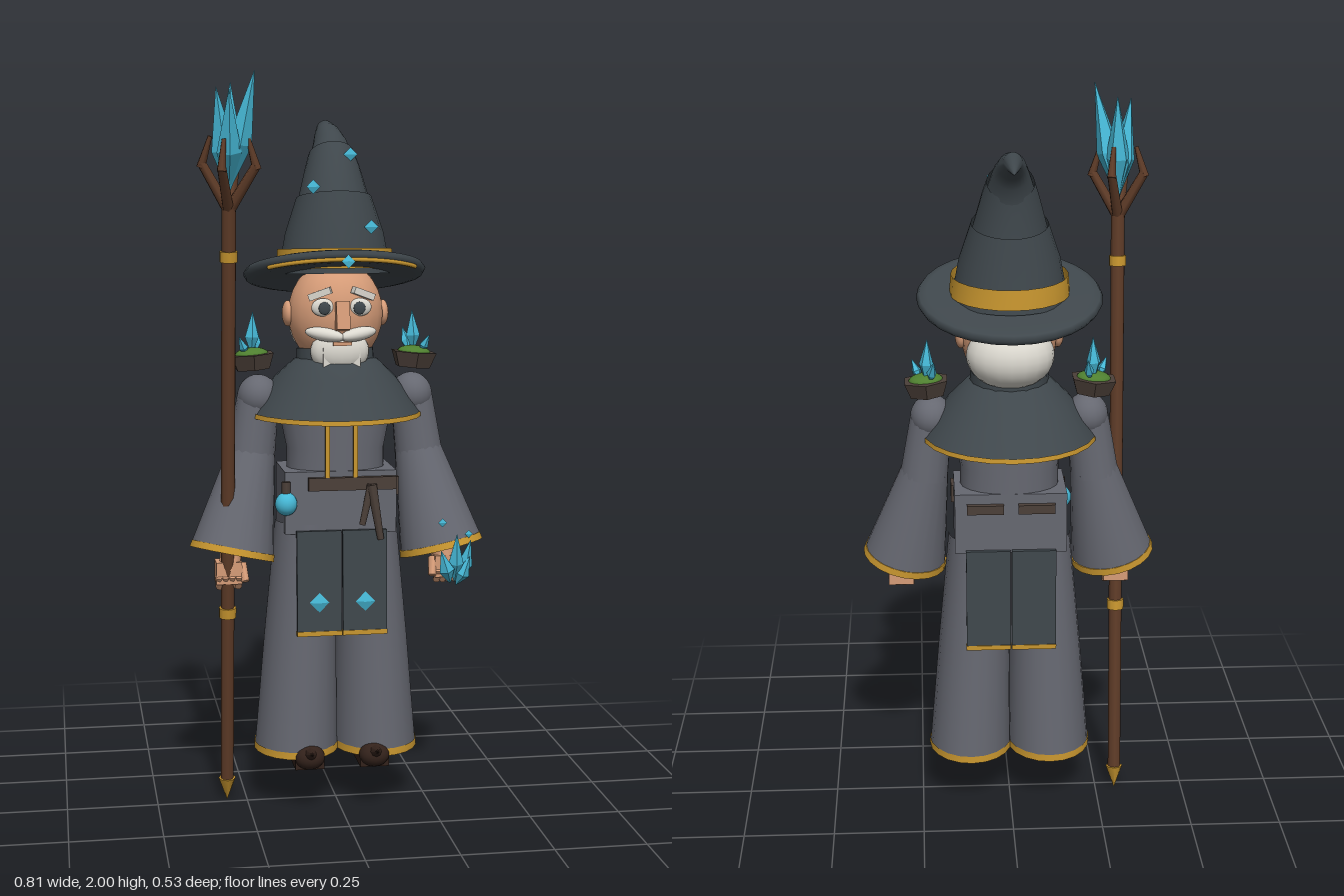
import * as THREE from 'three';
import { toCreasedNormals } from 'three/addons/utils/BufferGeometryUtils.js';

const mat = (name, color, side = THREE.FrontSide) => {
  const m = new THREE.MeshStandardMaterial({ color, side });
  m.name = name;
  return m;
};

export function createModel() {
  const robe = mat('robe grey', 0x666871), dark = mat('dark cloth', 0x3f474c, THREE.DoubleSide);
  const gold = mat('gold', 0xc8962f, THREE.DoubleSide), skin = mat('skin', 0xd69c78);
  const wood = mat('wood', 0x5f3c28), boot = mat('boot brown', 0x33221b);
  const crystalBlue = mat('crystal blue', 0x46b8d6), hair = mat('white hair', 0xdcd9d0);
  const moss = mat('moss green', 0x4f8030), leather = mat('leather brown', 0x4c4039);

  const root = new THREE.Group();
  root.name = 'wizard';
  const group = (name, parent = root) => {
    const g = new THREE.Group();
    g.name = name;
    parent.add(g);
    return g;
  };
  const add = (name, geo, m, pos = [0, 0, 0], parent = root, rot = [0, 0, 0], scale = [1, 1, 1]) => {
    const mesh = new THREE.Mesh(geo, m);
    mesh.name = name;
    mesh.position.set(...pos);
    mesh.rotation.set(...rot);
    mesh.scale.set(...scale);
    parent.add(mesh);
    return mesh;
  };
  const box = (name, w, h, d, m, pos, parent, rot) => add(name, new THREE.BoxGeometry(w, h, d), m, pos, parent, rot);
  const ball = (name, m, pos, scale, parent, rot) => add(name, new THREE.SphereGeometry(1, 20, 14), m, pos, parent, rot, scale);

  // Skin over elliptical rings, bottom to top: [x, y, z, rx, rz, forward rise]
  const loft = (rings, n = 20, crease = 0.6) => {
    const pos = [], idx = [];
    rings.forEach(([x, y, z, rx, rz, dy = 0], r) => {
      for (let i = 0; i < n; i++) {
        const a = (i / n) * Math.PI * 2, j = (i + 1) % n;
        pos.push(x + rx * Math.cos(a), y + dy * Math.sin(a), z + rz * Math.sin(a));
        if (r) {
          const lo = (r - 1) * n, hi = r * n;
          idx.push(lo + i, hi + i, lo + j, lo + j, hi + i, hi + j);
        }
      }
    });
    const g = new THREE.BufferGeometry();
    g.setAttribute('position', new THREE.Float32BufferAttribute(pos, 3));
    g.setIndex(idx);
    return toCreasedNormals(g, crease);
  };
  // Tapered rod between two points
  const limb = (name, a, b, ra, rb, m, parent = root, sides = 16) => {
    const A = new THREE.Vector3(...a), d = new THREE.Vector3(...b).sub(A);
    const mesh = add(name, new THREE.CylinderGeometry(rb, ra, d.length(), sides), m, [0, 0, 0], parent);
    mesh.position.copy(A).addScaledVector(d, 0.5);
    mesh.quaternion.setFromUnitVectors(new THREE.Vector3(0, 1, 0), d.normalize());
    return mesh;
  };
  // Faceted shard growing from its base
  const shard = (name, pos, r, h, rot = [0, 0, 0], parent = root) => {
    const pts = [[0.001, 0], [r, h * 0.4], [0.0005, h]].map(p => new THREE.Vector2(...p));
    const g = new THREE.LatheGeometry(pts, 5).toNonIndexed();
    g.computeVertexNormals();
    return add(name, g, crystalBlue, pos, parent, rot);
  };
  const gem = (name, pos, r = 0.018, parent = root) =>
    add(name, new THREE.OctahedronGeometry(r), crystalBlue, pos, parent, [0, 0, 0], [1, 1, 0.3]);

  // Robe skirt, hems and boots
  for (const s of [-1, 1]) {
    add('robeLeg', loft([[s * 0.111, 0.165, -0.007, 0.115, 0.135], [s * 0.099, 0.48, -0.004, 0.1, 0.117],
      [s * 0.084, 0.8, 0, 0.084, 0.1]]), robe);
    add('robeHem', loft([[s * 0.111, 0.152, -0.007, 0, 0], [s * 0.111, 0.152, -0.007, 0.118, 0.138],
      [s * 0.111, 0.172, -0.007, 0.117, 0.137]]), gold);
    const boots = group('boot');
    box('sole', 0.08, 0.03, 0.17, boot, [s * 0.09, 0.137, 0.04], boots);
    ball('toe', boot, [s * 0.09, 0.155, 0.115], [0.042, 0.034, 0.04], boots);
    add('toeTip', new THREE.ConeGeometry(0.028, 0.07, 8), boot, [s * 0.09, 0.172, 0.15], boots, [1.25, 0, 0]);
  }

  // Torso, waist, belt and gold cords
  add('torso', loft([[0, 0.9, -0.005, 0.135, 0.1], [0, 1.0, -0.005, 0.135, 0.1], [0, 1.17, -0.005, 0.17, 0.1]]), robe);
  add('waist', loft([[0, 0.77, -0.003, 0.215, 0.142], [0, 0.94, -0.003, 0.195, 0.14], [0, 0.945, -0.003, 0, 0]], 4), robe)
    .visible = false;
  root.children.pop();
  box('waist', 0.305, 0.17, 0.2, robe, [0, 0.86, -0.004]);
  box('belt', 0.24, 0.035, 0.02, leather, [0.03, 0.912, 0.103]);
  for (const s of [-1, 1]) {
    box('backStrap', 0.1, 0.025, 0.02, leather, [s * 0.07, 0.905, -0.11]);
    box('goldCord', 0.012, 0.17, 0.012, gold, [s * 0.038, 1.005, 0.104]);
  }
  box('sidePouch', 0.03, 0.05, 0.06, leather, [0.145, 0.9, 0.06]);
  limb('hangingTool', [0.08, 0.91, 0.115], [0.055, 0.8, 0.118], 0.012, 0.009, leather, root, 8);
  limb('hangingTool', [0.08, 0.91, 0.12], [0.105, 0.76, 0.122], 0.014, 0.009, leather, root, 8);
  ball('flask', crystalBlue, [-0.15, 0.86, 0.1], [0.03, 0.032, 0.03]);
  limb('flaskNeck', [-0.15, 0.885, 0.1], [-0.15, 0.92, 0.1], 0.012, 0.012, leather, root, 8);

  // Split tabard, front and back
  for (const f of [-1, 1]) {
    const tabard = group(f > 0 ? 'frontTabard' : 'backTabard');
    for (const s of [-1, 1]) {
      const z = f * 0.116 - 0.003;
      box('panel', 0.121, 0.28, 0.014, dark, [s * 0.0625, 0.645, z], tabard, [-f * 0.04, 0, 0]);
      box('panelTrim', 0.123, 0.013, 0.017, gold, [s * 0.0625, 0.504, z + f * 0.006], tabard);
      if (f > 0) gem('panelGem', [s * 0.063, 0.59, z + 0.012], 0.027, tabard);
    }
  }

  // Shoulder cape with gold underside, and collar
  add('cape', loft([[0, 1.095, -0.015, 0.234, 0.243], [0, 1.19, -0.01, 0.168, 0.16],
    [0, 1.24, 0, 0.115, 0.112], [0, 1.25, 0, 0.09, 0.09]], 24), dark);
  add('capeTrim', loft([[0, 1.088, -0.015, 0, 0], [0, 1.086, -0.015, 0.237, 0.246], [0, 1.099, -0.015, 0.235, 0.244]], 24), gold);
  limb('collar', [0, 1.2, -0.005], [0, 1.27, -0.01], 0.11, 0.105, dark);

  // Arms, flared sleeves and hands
  for (const s of [-1, 1]) {
    const arm = group(s > 0 ? 'leftArm' : 'rightArm');
    ball('shoulder', robe, [s * 0.212, 1.14, -0.008], [0.057, 0.06, 0.065], arm);
    limb('upperArm', [s * 0.212, 1.14, -0.008], [s * 0.234, 0.97, -0.005], 0.057, 0.066, robe, arm);
    limb('sleeve', [s * 0.23, 0.99, -0.006], [s * 0.289, 0.725, 0.034], 0.064, 0.114, robe, arm, 20);
    limb('cuff', [s * 0.287, 0.732, 0.033], [s * 0.291, 0.714, 0.036], 0.115, 0.118, gold, arm, 20);
    limb('wrist', [s * 0.292, 0.73, 0.036], [s * 0.3, 0.67, 0.045], 0.03, 0.03, skin, arm, 10);
    box('palm', 0.07, 0.06, 0.06, skin, [s * 0.302, 0.667, 0.042], arm);
    for (let i = 0; i < 4; i++)
      limb('finger', [s * (0.276 + i * 0.018), 0.66, 0.07], [s * (0.276 + i * 0.017), 0.624, 0.045], 0.011, 0.01, skin, arm, 7);
    limb('thumb', [s * 0.265, 0.69, 0.05], [s * 0.258, 0.645, 0.075], 0.013, 0.011, skin, arm, 7);

    // Mossy rock with crystals on each shoulder
    const rock = group('shoulderRock');
    rock.position.set(s * 0.224, 1.232, -0.04);
    rock.rotation.z = s * -0.08;
    add('stone', toCreasedNormals(new THREE.CylinderGeometry(0.066, 0.05, 0.042, 6), 0.3), leather, [0, 0, 0], rock);
    ball('moss', moss, [0, 0.02, 0], [0.046, 0.018, 0.042], rock);
    shard('shoulderCrystal', [0, 0.02, -0.01], 0.02, 0.115, [0, 0, s * 0.12], rock);
    shard('shoulderCrystal', [-s * 0.012, 0.02, -0.02], 0.014, 0.075, [-0.55, 0, 0.2 * s], rock);
    shard('shoulderCrystal', [s * 0.015, 0.02, 0.01], 0.013, 0.06, [0.4, 0, -s * 0.3], rock);
  }

  // Crystals at the left hand
  for (const [x, y, h, lean] of [[0.305, 0.64, 0.14, 0], [0.29, 0.64, 0.1, 0.3], [0.325, 0.64, 0.12, -0.2], [0.31, 0.63, 0.09, -0.4]])
    shard('handCrystal', [x, y, 0.14 + (0.31 - x)], 0.022, h, [0.2, 0, lean]);
  gem('floatingChip', [0.27, 0.805, 0.15], 0.012);
  gem('floatingChip', [0.345, 0.77, 0.14], 0.011);

  // Head and face
  const head = group('head');
  ball('skull', skin, [0, 1.365, 0], [0.13, 0.145, 0.115], head);
  ball('backHair', hair, [0, 1.325, -0.065], [0.118, 0.09, 0.098], head);
  ball('beard', hair, [0, 1.268, 0.075], [0.08, 0.062, 0.045], head);
  box('beardTip', 0.1, 0.06, 0.05, hair, [0, 1.25, 0.085], head);
  box('nose', 0.036, 0.075, 0.04, skin, [0, 1.365, 0.118], head, [-0.2, 0, 0]);
  box('mouth', 0.05, 0.01, 0.008, skin, [0, 1.292, 0.12], head);
  for (const s of [-1, 1]) {
    ball('ear', skin, [s * 0.13, 1.365, -0.005], [0.016, 0.035, 0.032], head);
    ball('eye', hair, [s * 0.05, 1.388, 0.104], [0.031, 0.024, 0.012], head);
    ball('pupil', dark, [s * 0.047, 1.386, 0.115], [0.016, 0.017, 0.005], head);
    box('brow', 0.062, 0.018, 0.022, hair, [s * 0.058, 1.424, 0.106], head, [0, s * 0.3, -s * 0.35]);
    ball('moustache', hair, [s * 0.045, 1.316, 0.106], [0.055, 0.018, 0.022], head, [0, s * 0.35, s * 0.15]);
  }

  // Hat: tilted brim, gold band and a crown bending backward
  const hat = group('hat');
  const brim = group('brim', hat);
  brim.position.set(0, 1.475, -0.022);
  brim.rotation.x = -0.243;
  const rim = [[0.001, -0.01], [0.22, -0.018], [0.24, -0.014], [0.248, 0], [0.24, 0.012], [0.22, 0.017], [0.1, 0.018]];
  add('brimDisc', new THREE.LatheGeometry(rim.map(p => new THREE.Vector2(...p)), 28), dark, [0, 0, 0], brim);
  const arc = 1.9;
  add('brimTrim', new THREE.TorusGeometry(0.241, 0.006, 6, 20, arc).rotateZ((Math.PI - arc) / 2).rotateX(Math.PI / 2),
    gold, [0, -0.014, 0], brim);
  gem('brimGem', [0, -0.02, 0.246], 0.018, brim);
  add('hatBand', loft([[0, 1.484, -0.02, 0.16, 0.16, 0.009], [0, 1.537, -0.02, 0.156, 0.156, 0.009]], 24), gold, [0, 0, 0], hat);
  add('lowerCrown', loft([[0, 1.47, -0.02, 0.155, 0.155, 0.009], [0, 1.58, -0.025, 0.134, 0.134, 0.015],
    [0, 1.675, -0.035, 0.102, 0.112, 0.02]], 24, 1), dark, [0, 0, 0], hat);
  add('middleCrown', loft([[0, 1.665, -0.037, 0.098, 0.105, 0.02], [0, 1.75, -0.062, 0.075, 0.075, 0.034],
    [0, 1.79, -0.08, 0.062, 0.058, 0.036]], 24, 1), dark, [0, 0, 0], hat);
  add('upperCrown', loft([[0, 1.775, -0.078, 0.06, 0.06, 0.034], [0, 1.815, -0.1, 0.047, 0.045, 0.034], [0, 1.842, -0.145, 0.036, 0.022, 0.032],
    [0, 1.86, -0.193, 0.024, 0.008, 0.025], [0, 1.84, -0.265, 0, 0, 0]], 24, 1), dark, [0, 0, 0], hat);
  for (const p of [[0.04, 1.79, 0.004], [-0.07, 1.705, 0.07], [0.08, 1.6, 0.104]]) gem('hatGem', p, 0.019, hat);

  // Staff, leaning forward
  const staff = group('staff');
  staff.position.set(-0.305, 0, -0.022);
  staff.rotation.x = 0.116;
  limb('tip', [0, 0, 0], [0, 0.065, 0], 0.001, 0.024, gold, staff, 8);
  limb('shaft', [0, 0.06, 0], [0, 1.68, 0], 0.018, 0.019, wood, staff, 8);
  for (const y of [0.557, 1.537])
    limb('ring', [0, y - 0.014, 0], [0, y + 0.014, 0], 0.024, 0.024, gold, staff, 10);
  for (let i = 0; i < 4; i++) {
    const a = i * Math.PI / 2 + 0.35, c = Math.cos(a), s = Math.sin(a);
    limb('prong', [0, 1.655, 0], [c * 0.072, 1.775, s * 0.072], 0.016, 0.013, wood, staff, 6);
    limb('prongTip', [c * 0.074, 1.765, s * 0.074], [c * 0.05, 1.845, s * 0.05], 0.013, 0.006, wood, staff, 6);
  }
  shard('staffCrystal', [0, 1.7, 0], 0.04, 0.24, [0, 0, 0], staff);
  for (const [rx, rz, h] of [[0.05, -0.2, 0.317], [0.05, 0.13, 0.27], [0.2, 0.02, 0.27], [-0.2, -0.03, 0.28]])
    shard('staffCrystal', [0, 1.705, 0], 0.034, h, [rx, 0, rz], staff);

  return root;
}
